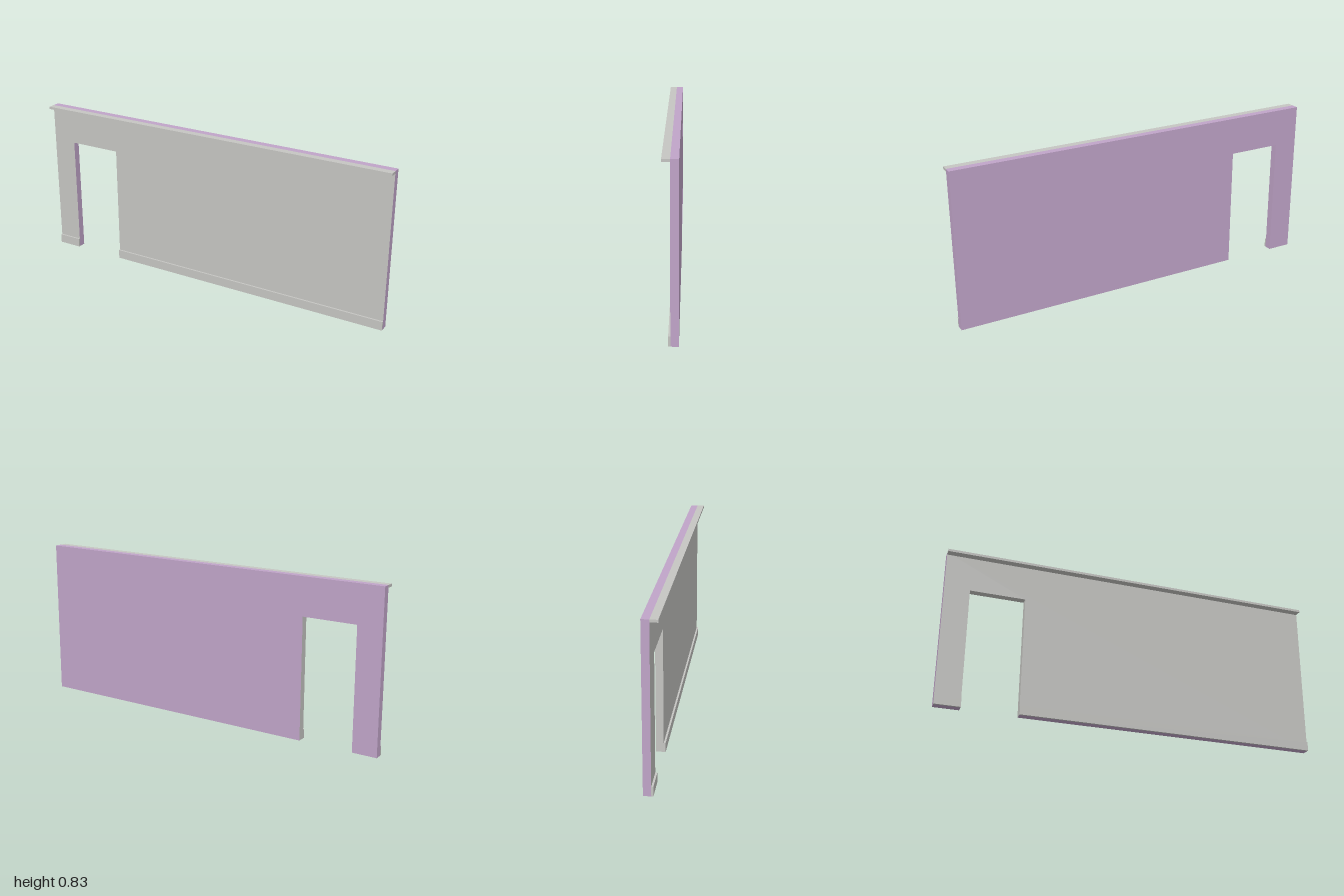
import * as THREE from 'three';

const BACK = -0.0375, FRONT = 0, HEIGHT = 0.835;
const DOOR = { left: -0.87, right: -0.583, top: 0.637 };

export function createModel() {
  const group = new THREE.Group();
  const purple = new THREE.MeshStandardMaterial({ color: 0xc0a4c8 });
  purple.name = 'mauve wall';
  const grey = new THREE.MeshStandardMaterial({ color: 0xc5c5c2 });
  grey.name = 'warm grey';

  // Wall slab with a door notch open at the floor
  const outline = new THREE.Shape([
    [-1, 0], [DOOR.left, 0], [DOOR.left, DOOR.top], [DOOR.right, DOOR.top],
    [DOOR.right, 0], [1, 0], [1, HEIGHT], [-1, HEIGHT],
  ].map(([x, y]) => new THREE.Vector2(x, y)));
  const wallGeometry = new THREE.ExtrudeGeometry(outline, { depth: FRONT - BACK, bevelEnabled: false });
  wallGeometry.translate(0, 0, BACK);

  // Grey on the front, the door head and the inner jamb; mauve elsewhere
  const pos = wallGeometry.attributes.position;
  const normal = wallGeometry.attributes.normal;
  wallGeometry.clearGroups();
  for (let i = 0; i < pos.count; i += 3) {
    const isFront = normal.getZ(i) > 0.5;
    const isHead = normal.getY(i) < -0.5 && pos.getY(i) > 0.1;
    const isJamb = normal.getX(i) < -0.5 && pos.getX(i) > -0.9;
    wallGeometry.addGroup(i, 3, isFront || isHead || isJamb ? 1 : 0);
  }
  const wall = new THREE.Mesh(wallGeometry, [purple, grey]);
  wall.name = 'wall';
  group.add(wall);

  // Trim strips that sit against the front of the wall
  function addTrim(name, x0, x1, y0, y1, depth) {
    const mesh = new THREE.Mesh(new THREE.BoxGeometry(x1 - x0, y1 - y0, depth), grey);
    mesh.position.set((x0 + x1) / 2, (y0 + y1) / 2, FRONT + depth / 2);
    mesh.name = name;
    group.add(mesh);
  }
  addTrim('cornice', -1, 1, 0.822, HEIGHT, 0.0375);
  addTrim('baseboardRight', -1, DOOR.left, 0, 0.048, 0.0095);
  addTrim('baseboardLeft', DOOR.right, 1, 0, 0.048, 0.0095);

  return group;
}
